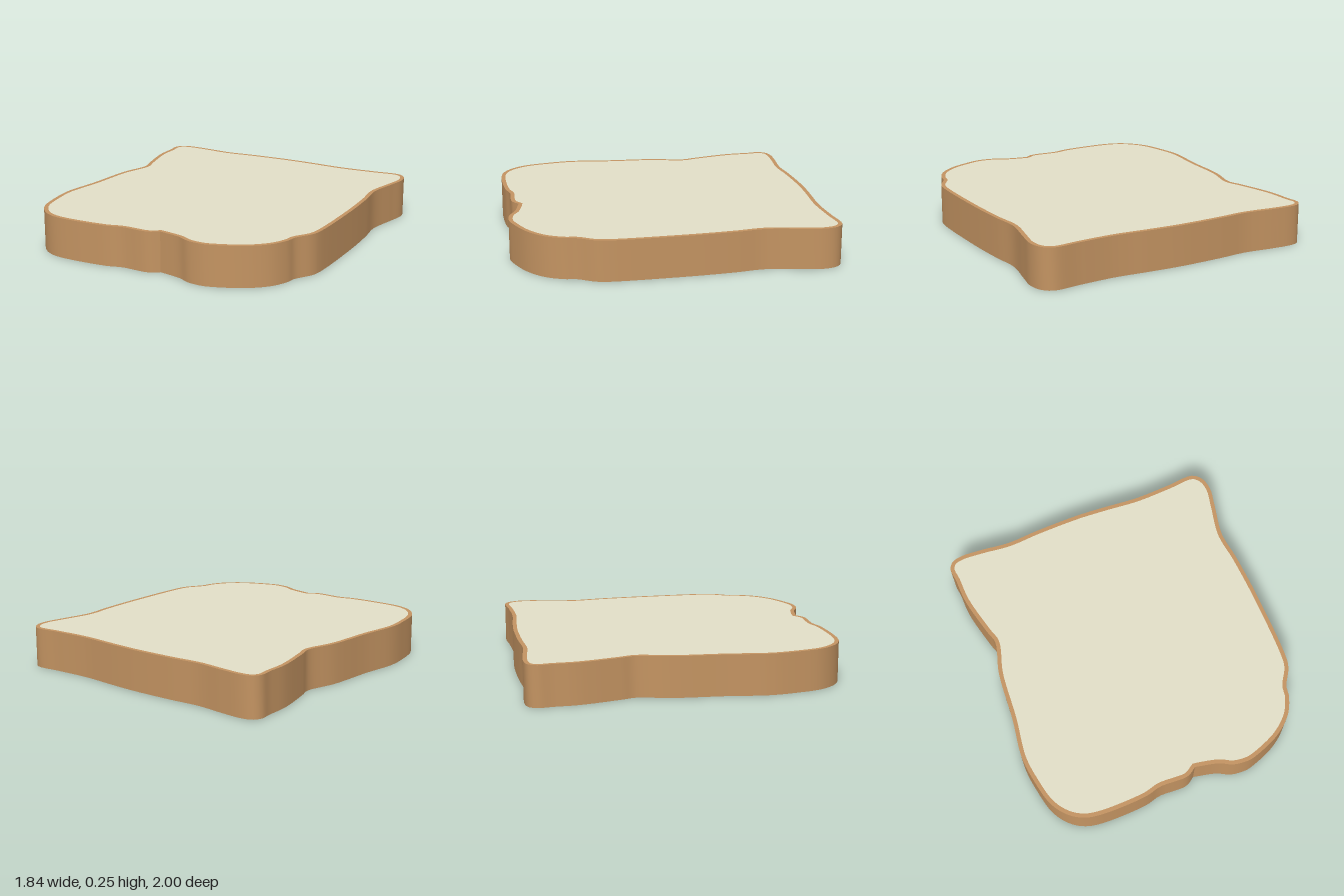
import * as THREE from 'three';
import { toCreasedNormals } from 'three/addons/utils/BufferGeometryUtils.js';

const HEIGHT = 0.255;
const CRUST = 0.026;

// Outline of the slice as (x, z), starting and ending at the sharp notch in the front edge
const OUTLINE = [
  [0.06, 0.91], [0.21, 0.945], [0.29, 0.985], [0.39, 0.997], [0.45, 0.985], [0.63, 0.91],
  [0.745, 0.81], [0.8, 0.7], [0.81, 0.64], [0.87, 0.54], [0.888, 0.48], [0.892, 0],
  [0.875, -0.31], [0.855, -0.5], [0.893, -0.71], [0.915, -0.84], [0.895, -0.93], [0.84, -0.978],
  [0.66, -0.97], [0.43, -0.962], [0.19, -0.98], [0, -0.99], [-0.29, -0.985], [-0.49, -0.973],
  [-0.68, -0.992], [-0.82, -0.998], [-0.885, -0.98], [-0.915, -0.93], [-0.907, -0.85], [-0.9, -0.69],
  [-0.84, -0.43], [-0.815, -0.34], [-0.865, -0.13], [-0.89, 0.19], [-0.922, 0.45], [-0.905, 0.61],
  [-0.86, 0.79], [-0.79, 0.89], [-0.71, 0.945], [-0.61, 0.97], [-0.29, 0.968], [-0.19, 0.945],
  [0.0, 0.947], [0.06, 0.91],
];

function slab(shape) {
  const geometry = new THREE.ExtrudeGeometry(shape, { depth: HEIGHT, bevelEnabled: false });
  geometry.rotateX(-Math.PI / 2);
  return toCreasedNormals(geometry, 0.6);
}

function part(name, geometry, color) {
  const mesh = new THREE.Mesh(geometry, new THREE.MeshStandardMaterial({ color }));
  mesh.name = name;
  return mesh;
}

export function createModel() {
  const group = new THREE.Group();
  group.name = 'breadSlice';

  const curve = new THREE.CatmullRomCurve3(
    OUTLINE.map(([x, z]) => new THREE.Vector3(x, -z, 0)), false, 'centripetal');
  const outer = curve.getSpacedPoints(260).slice(0, -1).map((p) => new THREE.Vector2(p.x, p.y));

  // Inner edge of the crust: each outline point moved inward along its normal
  const n = outer.length;
  const inner = outer.map((p, i) => {
    const t = outer[(i + 1) % n].clone().sub(outer[(i + n - 1) % n]).normalize();
    return new THREE.Vector2(p.x - t.y * CRUST, p.y + t.x * CRUST);
  });

  // Crust ring
  const crustShape = new THREE.Shape(outer);
  crustShape.holes.push(new THREE.Path(inner));
  group.add(part('crust', slab(crustShape), 0xc49462));

  // Soft bread filling the ring, flush on both sides
  group.add(part('crumb', slab(new THREE.Shape(inner)), 0xe3e0c8));

  return group;
}
